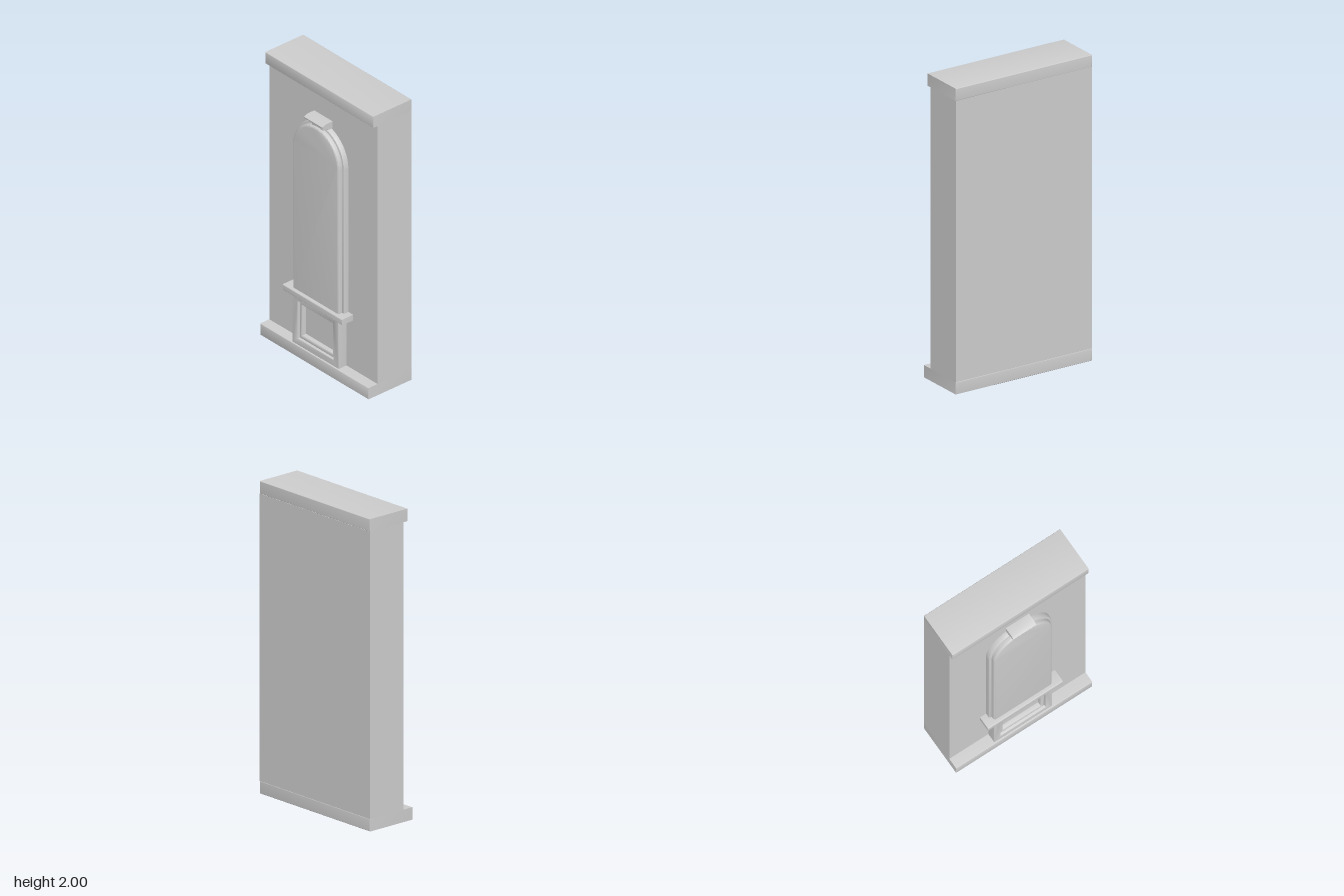
import * as THREE from 'three';
import { toCreasedNormals } from 'three/addons/utils/BufferGeometryUtils.js';

const BACK = -0.18;   // rear plane of the wall
const WALL = 0.095;   // decorated wall plane
const SPRING = 1.49;  // height where the arches begin to curve
const SILL = 0.47;    // top of the sill

const material = new THREE.MeshStandardMaterial({ color: 0xcccccc, side: THREE.DoubleSide });

function rect(path, w, y0, y1) {
  path.moveTo(-w, y0);
  path.lineTo(w, y0);
  path.lineTo(w, y1);
  path.lineTo(-w, y1);
  path.closePath();
  return path;
}

function arch(path, r, y0) {
  path.moveTo(-r, y0);
  path.lineTo(r, y0);
  path.lineTo(r, SPRING);
  path.absarc(0, SPRING, r, 0, Math.PI, false);
  path.closePath();
  return path;
}

// Extrudes a shape from depth z0 to z1, with an optional rounded edge
function slab(shape, z0, z1, bevel = 0) {
  const geo = new THREE.ExtrudeGeometry(shape, {
    depth: z1 - z0 - 2 * bevel, curveSegments: 32, bevelEnabled: bevel > 0,
    bevelSize: bevel, bevelThickness: bevel, bevelOffset: -bevel, bevelSegments: 4,
  });
  geo.translate(0, 0, z0 + bevel);
  return toCreasedNormals(geo, 0.7);
}

function frame(outer, hole, z0, z1, bevel) {
  outer.holes.push(hole);
  return slab(outer, z0, z1, bevel);
}

export function createModel() {
  const model = new THREE.Group();
  model.name = 'wallNiche';
  // Parts are laid out facing +z, then the whole wall is turned to face -x
  const wall = new THREE.Group();
  wall.name = 'wall';
  wall.rotation.y = -Math.PI / 2;
  model.add(wall);

  const add = (name, geo) => {
    const mesh = new THREE.Mesh(geo, material);
    mesh.name = name;
    wall.add(mesh);
    return mesh;
  };
  const block = (name, w, y0, y1, z0, z1, bevel) =>
    add(name, slab(rect(new THREE.Shape(), w, y0, y1), z0, z1, bevel));

  // Wall: solid back and a front layer with the arched opening
  block('wallBack', 0.5, 0.08, 1.92, BACK, -0.03);
  add('wallFront', frame(rect(new THREE.Shape(), 0.5, 0.08, 1.92),
    arch(new THREE.Path(), 0.16, SILL), -0.03, WALL));
  block('plinth', 0.5, 0, 0.08, BACK, 0.17, 0.004);
  block('cornice', 0.5, 1.92, 2, BACK, 0.13, 0.004);

  // Hollow of the niche: floor, curved back and half dome
  const profile = [[0, SILL], [0.15, SILL], [0.158, SILL + 0.004], [0.16, SILL + 0.015]]
    .map(([r, y]) => new THREE.Vector2(r, y));
  for (let i = 0; i <= 16; i++) {
    const a = (i / 16) * Math.PI / 2;
    profile.push(new THREE.Vector2(0.16 * Math.cos(a), SPRING + 0.16 * Math.sin(a)));
  }
  const hollow = new THREE.LatheGeometry(profile, 32, Math.PI / 2, Math.PI);
  hollow.scale(1, 1, 0.7);
  add('nicheHollow', hollow).position.z = WALL;

  // Stepped moulding around the arch
  add('archOuterBand', frame(arch(new THREE.Shape(), 0.23, SILL - 0.02),
    arch(new THREE.Path(), 0.165, SILL - 0.01), WALL - 0.01, 0.13, 0.006));
  add('archRoll', frame(arch(new THREE.Shape(), 0.213, SILL - 0.02),
    arch(new THREE.Path(), 0.158, SILL - 0.005), WALL - 0.01, 0.16, 0.014));

  // Sill and the recessed panel beneath it
  block('sill', 0.275, 0.43, SILL, WALL - 0.01, 0.185, 0.006);
  add('panelFrame', frame(rect(new THREE.Shape(), 0.213, 0.08, 0.43),
    rect(new THREE.Path(), 0.165, 0.125, 0.39), WALL - 0.005, 0.16, 0.003));
  add('panelMoulding', frame(rect(new THREE.Shape(), 0.168, 0.122, 0.393),
    rect(new THREE.Path(), 0.138, 0.152, 0.363), WALL - 0.005, 0.145, 0.012));
  block('panelField', 0.145, 0.145, 0.37, WALL - 0.005, 0.115);

  // Bracket shelf above the arch: side profile drawn in depth and height
  const side = new THREE.Shape();
  side.moveTo(WALL - 0.01, 1.715);
  side.lineTo(0.135, 1.715);
  side.quadraticCurveTo(0.14, 1.728, 0.165, 1.733);
  side.quadraticCurveTo(0.18, 1.738, 0.178, 1.75);
  side.lineTo(0.155, 1.762);
  side.lineTo(WALL - 0.01, 1.762);
  side.closePath();
  const shelf = new THREE.ExtrudeGeometry(side, { depth: 0.17, bevelEnabled: false });
  shelf.translate(0, 0, -0.085);
  shelf.rotateY(-Math.PI / 2);
  add('bracketShelf', toCreasedNormals(shelf, 0.7));
  block('bracketNeck', 0.05, 1.69, 1.72, WALL - 0.01, 0.145, 0.003);

  return model;
}
